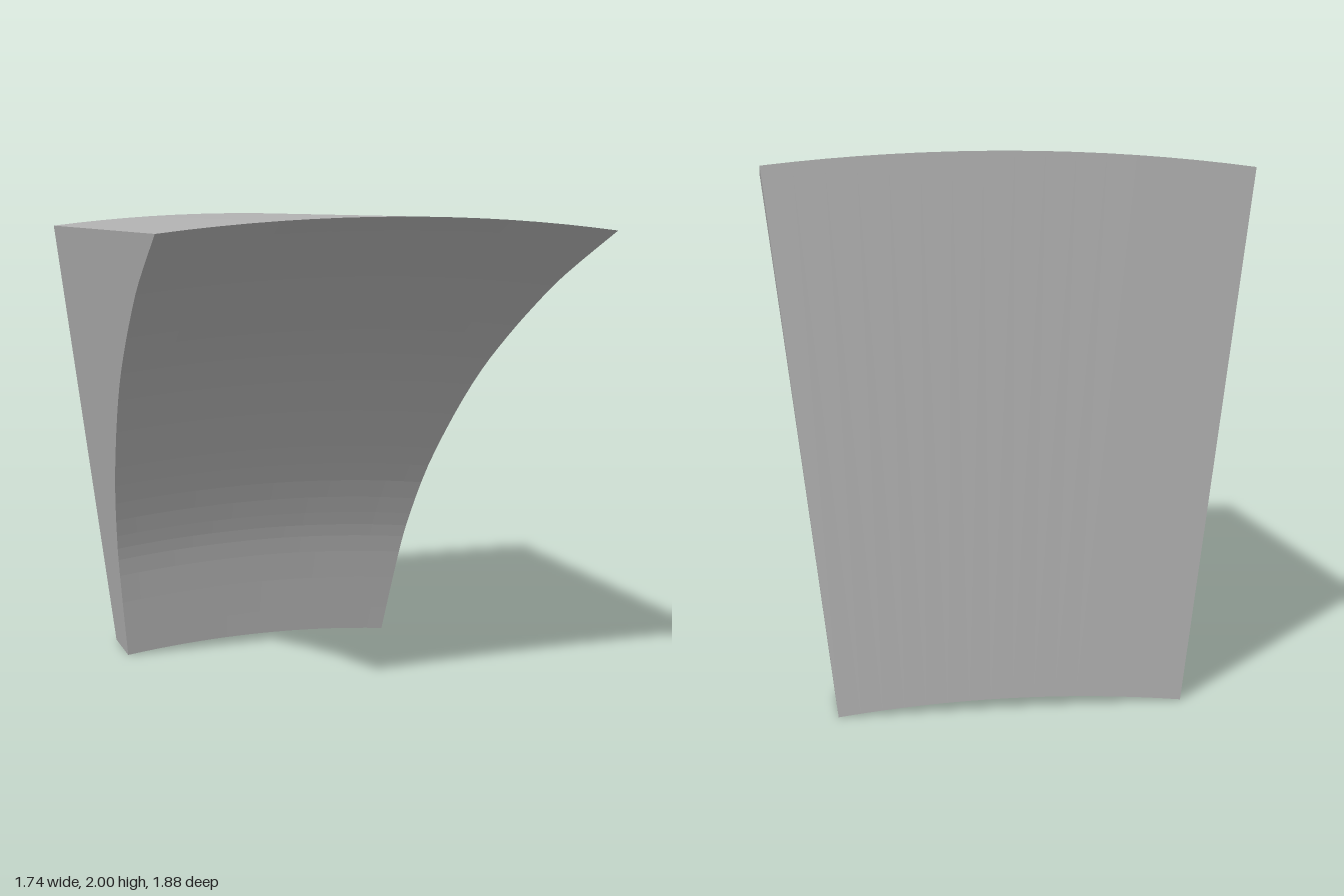
import * as THREE from 'three';

const OUTER = 7.13;                    // radius of the top surface about the z axis
const HALF = THREE.MathUtils.degToRad(7); // half of the wedge angle
const AXIS_Y = 2 - OUTER;              // height of the arc centre
const BACK = -0.94;

// Curved underside as [z, y] along a side edge, from the foot to the front lip
const UNDERSIDE = [
  [-0.69, 0], [-0.6, 0.4], [-0.53, 0.6], [-0.4, 0.85], [-0.2, 1.115],
  [0, 1.33], [0.2, 1.497], [0.4, 1.642], [0.6, 1.77], [0.94, 1.947],
];

export function createModel() {
  const group = new THREE.Group();
  group.name = 'archSegment';
  const stone = new THREE.MeshStandardMaterial({ color: 0xb0b0b0, flatShading: true });
  stone.name = 'grey stone';

  // Side profile in (z, radius)
  const toRadius = (y) => (y - AXIS_Y) / Math.cos(HALF);
  const curve = new THREE.SplineCurve(UNDERSIDE.map(([z, y]) => new THREE.Vector2(z, toRadius(y))));
  const points = curve.getPoints(27);
  points[points.length - 1].y = OUTER;
  const profile = new THREE.Shape([
    new THREE.Vector2(BACK, toRadius(0)),
    ...points,
    new THREE.Vector2(BACK, OUTER),
  ]);

  // Sweep the profile through the wedge angle
  const geometry = new THREE.ExtrudeGeometry(profile, { depth: 1, steps: 16, bevelEnabled: false });
  const pos = geometry.attributes.position;
  for (let i = 0; i < pos.count; i++) {
    const z = pos.getX(i), radius = pos.getY(i);
    const angle = HALF * (1 - 2 * pos.getZ(i));
    pos.setXYZ(i, radius * Math.sin(angle), AXIS_Y + radius * Math.cos(angle), z);
  }
  geometry.computeVertexNormals();

  const wedge = new THREE.Mesh(geometry, stone);
  wedge.name = 'curvedWedge';
  group.add(wedge);
  return group;
}
